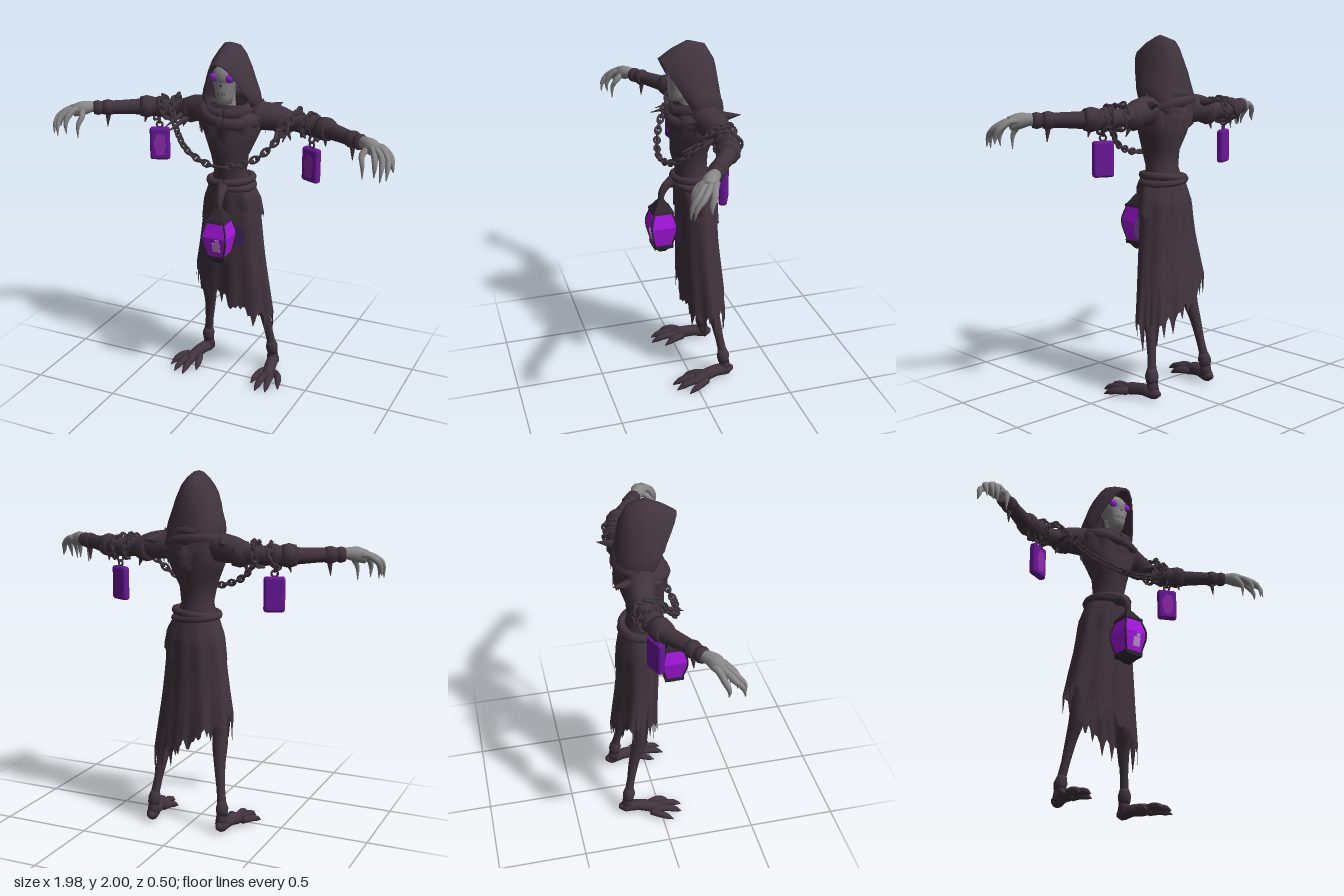
import * as THREE from 'three';
import { RoundedBoxGeometry } from 'three/addons/geometries/RoundedBoxGeometry.js';

const mat = (name, hex) => {
  const m = new THREE.MeshStandardMaterial({ color: hex, side: THREE.DoubleSide });
  m.name = name;
  return m;
};
const V = (x, y, z) => new THREE.Vector3(x, y, z);
const lerp = THREE.MathUtils.lerp;

export function createModel() {
  const root = new THREE.Group();
  const cloth = mat('dark cloth', 0x41343e), iron = mat('dark iron', 0x2f2730), steel = mat('chain steel', 0x40373f);
  const bone = mat('grey bone', 0x8a8888), eye = mat('violet eye', 0x9227d8), glass = mat('violet glass', 0xa616e0);
  const slab = mat('deep violet slab', 0x6a179a), glow = mat('slab glow', 0x9029ac), flame = mat('pale flame', 0xcf8fd8);
  const halo = mat('dim violet halo', 0x4c2d68);

  const add = (name, geo, material, x = 0, y = 0, z = 0, parent = root) => {
    const m = new THREE.Mesh(geo, material);
    m.name = name;
    m.position.set(x, y, z);
    parent.add(m);
    return m;
  };

  // Skin over rows of points
  const skin = (name, rows, material, closed = true) => {
    const n = rows[0].length, idx = [];
    for (let i = 0; i < rows.length - 1; i++)
      for (let j = 0; j < (closed ? n : n - 1); j++) {
        const a = i * n + j, b = i * n + (j + 1) % n;
        idx.push(a, a + n, b, b, a + n, b + n);
      }
    const g = new THREE.BufferGeometry().setFromPoints(rows.flat());
    g.setIndex(idx);
    g.computeVertexNormals();
    return add(name, g, material);
  };

  // Tapered limb through [x, y, z, radius] points
  const limb = (name, pts, material, sides = 10, per = 4) => {
    const c = new THREE.CatmullRomCurve3(pts.map(p => V(p[0], p[1], p[2])));
    const n = (pts.length - 1) * per, f = c.computeFrenetFrames(n), rows = [];
    const ring = (i, k) => {
      const t = c.getUtoTmapping(i / n) * (pts.length - 1), s = Math.min(Math.floor(t), pts.length - 2);
      const r = lerp(pts[s][3], pts[s + 1][3], t - s) * k, o = c.getPointAt(i / n);
      rows.push(Array.from({ length: sides }, (_, j) => {
        const a = j / sides * Math.PI * 2;
        return o.clone().addScaledVector(f.normals[i], Math.cos(a) * r).addScaledVector(f.binormals[i], Math.sin(a) * r);
      }));
    };
    ring(0, 0.01);
    for (let i = 0; i <= n; i++) ring(i, 1);
    ring(n, 0.01);
    return skin(name, rows, material);
  };

  // Body of oval rings [y, centre z, half width, half depth]
  const ovals = (name, rings, material, n = 28) => skin(name, rings.map(([y, cz, rx, rz]) =>
    Array.from({ length: n }, (_, j) => {
      const a = j / n * Math.PI * 2;
      return V(Math.sin(a) * rx, y, cz + Math.cos(a) * rz);
    })), material);

  // Hanging cloth with folds and a torn hem; stops are [half width, half depth, centre z]
  const drape = (name, top, hem, stops, jag, n = 96) => {
    const rows = [], k = 9;
    for (let i = 0; i <= k; i++) {
      const t = i / k, s = Math.min(Math.floor(t * (stops.length - 1)), stops.length - 2), u = t * (stops.length - 1) - s;
      const [rx, rz, cz] = stops[s].map((v, q) => lerp(v, stops[s + 1][q], u));
      rows.push(Array.from({ length: n }, (_, j) => {
        const a = j / n * Math.PI * 2, fold = 1 + 0.045 * t * Math.sin(a * 9 + Math.sin(a * 2));
        const x = Math.sin(a) * rx * fold, z = cz + Math.cos(a) * rz * fold;
        const tear = [0, 0.35, 0.8, 1, 0.3, 0.1, 0.6, 0.15][j % 8] * (0.6 + 0.4 * Math.sin(j * 1.7)) * jag;
        const w = t < 0.75 ? 0 : (t - 0.75) * 4;
        return V(x, lerp(top, hem(x, z), t) - tear * w, z);
      }));
    }
    return skin(name, rows, cloth);
  };

  // Torso, mantle, skirt and hip wrap
  ovals('torso', [[1.66, -0.06, 0.09, 0.08], [1.63, -0.07, 0.15, 0.1], [1.56, -0.06, 0.19, 0.12], [1.46, -0.05, 0.145, 0.12],
    [1.37, -0.035, 0.105, 0.105], [1.28, -0.045, 0.092, 0.09], [1.18, -0.06, 0.12, 0.1]], cloth);
  drape('mantle', 1.67, (x, z) => 1.5 + 0.4 * Math.abs(x) - 0.15 * Math.max(z, 0),
    [[0.11, 0.1, -0.06], [0.16, 0.12, -0.06], [0.205, 0.14, -0.06], [0.19, 0.14, -0.06]], 0.08);
  drape('skirt', 1.22, x => Math.max(0.43, 0.53 - 0.6 * x), [[0.115, 0.1, -0.06], [0.165, 0.115, -0.075],
    [0.18, 0.115, -0.08], [0.195, 0.118, -0.085], [0.215, 0.123, -0.097], [0.235, 0.13, -0.108]], 0.17);
  drape('hipWrap', 1.22, (x, z) => 1.03 + 0.25 * x + 0.5 * z, [[0.12, 0.105, -0.06], [0.168, 0.12, -0.075], [0.182, 0.12, -0.08]], 0.02);

  // Scarf folds and rope belt
  const loop = (name, y, cz, rx, rz, r, tilt) => limb(name, Array.from({ length: 17 }, (_, i) => {
    const a = i / 16 * Math.PI * 2;
    return [Math.sin(a) * rx, y + tilt * Math.sin(a) - 0.035 * Math.cos(a) * (y > 1.5), cz + Math.cos(a) * rz, r];
  }), cloth, 8, 3);
  loop('scarfUpper', 1.65, -0.065, 0.125, 0.11, 0.034, 0.01);
  loop('scarfLower', 1.61, -0.06, 0.155, 0.125, 0.036, -0.02);
  loop('beltUpper', 1.225, -0.055, 0.122, 0.108, 0.022, 0.012);
  loop('beltLower', 1.2, -0.06, 0.126, 0.11, 0.02, -0.01);
  add('beltKnot', new THREE.SphereGeometry(0.036, 12, 8), cloth, 0, 1.2, 0.06);

  // Hood: arches from the inner lining, round the rim, to the back [apex, bottom, half width, z top, z bottom]
  const arch = [[0.88, 0], [1, 0.2], [0.93, 0.33], [0.8, 0.47], [0.62, 0.68], [0.4, 0.87], [0.18, 0.98]];
  const outline = [...arch, [0, 1], ...arch.slice().reverse().map(([x, y]) => [-x, y])];
  skin('hood', [[1.88, 1.64, 0.06, -0.09, -0.09], [1.895, 1.63, 0.122, 0.02, -0.08], [1.897, 1.62, 0.13, 0.12, -0.04],
    [1.912, 1.61, 0.143, 0.134, -0.035], [1.96, 1.61, 0.163, 0.06, -0.045], [2.0, 1.6, 0.168, -0.03, -0.07],
    [1.975, 1.6, 0.155, -0.12, -0.12], [1.9, 1.58, 0.125, -0.165, -0.18], [1.8, 1.58, 0.08, -0.185, -0.205], [1.68, 1.58, 0.02, -0.2, -0.215]]
    .map(([top, bot, hw, zt, zb]) => outline.map(([x, f]) => V(x * hw, lerp(bot, top, f), lerp(zb, zt, f)))), cloth, false);

  // Skull and neck
  add('skull', new THREE.SphereGeometry(1, 20, 14), bone, 0, 1.825, 0.004).scale.set(0.086, 0.085, 0.08);
  ovals('jaw', [[1.8, 0.025, 0.073, 0.057], [1.765, 0.032, 0.058, 0.053], [1.72, 0.034, 0.047, 0.05], [1.68, 0.034, 0.038, 0.042], [1.677, 0.034, 0.001, 0.001]], bone, 16);
  limb('neck', [[0, 1.76, -0.02, 0.04], [0, 1.7, -0.02, 0.036], [0, 1.62, -0.03, 0.04]], bone);
  for (let i = -2; i <= 2; i++) add('toothGap', new THREE.BoxGeometry(0.002, 0.016, 0.005), steel, i * 0.011, 1.738, 0.083 - Math.abs(i) * 0.003);
  add('noseHole', new THREE.CircleGeometry(0.011, 3), steel, 0, 1.785, 0.087).rotation.z = Math.PI / 2;

  // Lantern hanging from the belt
  const lantern = new THREE.Group();
  lantern.name = 'lantern';
  lantern.position.set(0.01, 0, 0.13);
  root.add(lantern);
  const prism = (name, rt, rb, h, y, m) => {
    const g = new THREE.CylinderGeometry(rt * 1.414, rb * 1.414, h, 4).toNonIndexed();
    g.rotateY(Math.PI / 4);
    g.computeVertexNormals();
    add(name, g, m, 0, y, 0, lantern);
  };
  prism('glassTop', 0.052, 0.071, 0.08, 0.99, glass);
  prism('glassBottom', 0.071, 0.05, 0.115, 0.8925, glass);
  prism('capRim', 0.056, 0.06, 0.016, 1.04, iron);
  prism('capRoof', 0.015, 0.052, 0.055, 1.075, iron);
  prism('baseRim', 0.057, 0.054, 0.022, 0.827, iron);
  prism('baseFoot', 0.045, 0.018, 0.035, 0.802, iron);
  for (const sx of [-1, 1]) for (const sz of [-1, 1])
    lantern.add(limb('lanternBar', [[0.052, 1.03], [0.072, 0.95], [0.05, 0.84]].map(([d, y]) => [sx * d, y, sz * d, 0.005]), iron, 6));
  add('flame', new THREE.BoxGeometry(0.044, 0.055, 0.004), flame, 0.01, 0.895, 0.063, lantern).rotation.x = 0.2;
  add('flameTip', new THREE.BoxGeometry(0.022, 0.025, 0.004), flame, 0.018, 0.932, 0.07, lantern).rotation.x = 0.2;
  limb('lanternStrap', [[0, 1.2, 0.05, 0.028], [0.005, 1.19, 0.09, 0.026], [0.01, 1.14, 0.125, 0.02], [0.01, 1.09, 0.13, 0.014]], cloth);
  add('lanternHalo', new THREE.CircleGeometry(0.07, 28), halo, 0.062, 0.92, 0.046);

  // Chain of alternating links along a path
  const chain = (name, pts) => {
    const c = new THREE.CatmullRomCurve3(pts.map(p => V(...p))), n = Math.round(c.getLength() / 0.036);
    const g = new THREE.TorusGeometry(0.016, 0.007, 6, 10);
    g.scale(1.5, 1, 1);
    for (let i = 0; i <= n; i++) {
      const m = add(name, g, steel);
      m.position.copy(c.getPointAt(i / n));
      m.quaternion.setFromUnitVectors(V(1, 0, 0), c.getTangentAt(i / n));
      m.rotateX(i % 2 * Math.PI / 2 + 0.5);
    }
  };
  const drop = [[0.37, 1.64, -0.13], [0.365, 1.62, -0.05], [0.3, 1.5, 0.03], [0.2, 1.4, 0.09]];
  chain('chestChain', [...drop, [0, 1.345, 0.13], ...drop.slice().reverse().map(([x, y, z]) => [-x, y, z])]);

  for (const s of [-1, 1]) {
    const sideLimb = (name, pts, m, sides, per) => limb(name, pts.map(([x, y, z, r]) => [x * s, y, z, r]), m, sides, per);

    // Eyes
    add('eyeSocket', new THREE.SphereGeometry(1, 14, 10), steel, s * 0.043, 1.826, 0.064).scale.set(0.032, 0.025, 0.013);
    const iris = add('eye', new THREE.SphereGeometry(1, 14, 10), eye, s * 0.044, 1.824, 0.067);
    iris.scale.set(0.031, 0.023, 0.016);
    iris.rotation.z = s * 0.2;

    // Sleeve and wrapped bands
    sideLimb('sleeve', [[0.12, 1.6, -0.08, 0.085], [0.24, 1.59, -0.11, 0.075], [0.34, 1.575, -0.12, 0.05], [0.42, 1.57, -0.11, 0.052],
      [0.5, 1.57, -0.09, 0.056], [0.58, 1.57, -0.055, 0.046], [0.68, 1.572, 0.01, 0.04], [0.79, 1.572, 0.078, 0.036]], cloth, 12);
    for (const [x, z, r, d] of [[0.28, -0.115, 0.075, 0.04], [0.47, -0.1, 0.064, 0.02], [0.54, -0.075, 0.066, 0.035], [0.73, 0.04, 0.048, 0.025], [0.78, 0.07, 0.044, 0.02]])
      sideLimb('sleeveBand', [[x - d, 1.572, z - d * 0.45, r * 0.85], [x, 1.572, z, r], [x + d, 1.572, z + d * 0.55, r * 0.85]], cloth, 10, 2);
    // Torn cloth points
    for (const [a, b, r] of [[[0.2, 1.63, -0.16], [0.225, 1.64, -0.25], 0.03], [[0.28, 1.54, -0.07], [0.31, 1.5, 0.1], 0.022],
      [[0.32, 1.55, -0.08], [0.35, 1.51, 0.06], 0.02], [[0.3, 1.54, -0.12], [0.33, 1.47, -0.11], 0.022], [[0.16, 1.63, -0.1], [0.17, 1.69, -0.1], 0.035],
      [[0.73, 1.55, 0.04], [0.735, 1.46, 0.045], 0.02], [[0.54, 1.54, -0.07], [0.55, 1.48, -0.06], 0.02]])
      sideLimb('tornPoint', [[...a, r], [...b, 0.002]], cloth, 5, 1);
    // Chain wound round the arm
    chain('armChain', Array.from({ length: 17 }, (_, i) => {
      const t = i / 16, a = t * Math.PI * 3;
      return [s * (0.36 + 0.13 * t), 1.572 + 0.06 * Math.cos(a), -0.12 + 0.025 * t - 0.06 * Math.sin(a)];
    }));

    // Hanging slab
    const hang = new THREE.Group();
    hang.name = 'hangingSlab';
    hang.position.set(s * 0.465, 1.36, -0.08);
    hang.rotation.y = -s * 0.42;
    root.add(hang);
    add('slab', new RoundedBoxGeometry(0.116, 0.192, 0.044, 3, 0.016), slab, 0, 0, 0, hang);
    const spot = new THREE.Shape([[-0.02, -0.068], [0.022, -0.065], [0.036, -0.01], [0.028, 0.055], [-0.012, 0.065], [-0.036, 0.01]].map(p => new THREE.Vector2(...p)));
    add('slabGlow', new THREE.ShapeGeometry(spot), glow, 0, 0, 0.0235, hang);
    add('slabRing', new THREE.TorusGeometry(0.017, 0.006, 6, 14), steel, 0, 0.112, 0, hang);
    add('slabLink', new THREE.TorusGeometry(0.02, 0.007, 6, 14), steel, 0, 0.143, 0, hang).rotation.y = Math.PI / 2;

    // Bony hand
    sideLimb('palm', [[0.765, 1.572, 0.06, 0.028], [0.81, 1.578, 0.088, 0.032], [0.85, 1.572, 0.118, 0.042], [0.9, 1.558, 0.142, 0.036]], bone, 10);
    for (const [kx, kz, mx, mz, tx, ty, tz] of [[0.915, 0.115, 0.965, 0.135, 0.985, 1.46, 0.15], [0.915, 0.14, 0.965, 0.185, 0.975, 1.44, 0.235],
      [0.895, 0.16, 0.94, 0.205, 0.945, 1.43, 0.245], [0.875, 0.16, 0.9, 0.2, 0.905, 1.44, 0.215], [0.84, 0.13, 0.825, 0.175, 0.84, 1.42, 0.2]])
      sideLimb('finger', [[kx - 0.03, 1.572, kz - 0.02, 0.015], [kx, 1.57, kz, 0.019], [mx, 1.535, mz, 0.017],
        [(mx + tx) / 2 + 0.004, 1.495, (mz + tz) / 2 + 0.01, 0.013], [tx, ty, tz, 0.002]], bone, 7, 3);

    // Leg, ankle wrap and clawed foot
    sideLimb('leg', [[0.09, 1.0, -0.08, 0.07], [0.13, 0.75, -0.08, 0.052], [0.163, 0.55, -0.1, 0.044], [0.166, 0.48, -0.11, 0.044],
      [0.178, 0.38, -0.14, 0.032], [0.196, 0.25, -0.165, 0.024], [0.212, 0.14, -0.185, 0.026], [0.214, 0.05, -0.195, 0.036]], cloth, 10);
    sideLimb('ankleWrap', [[0.207, 0.18, -0.178, 0.026], [0.212, 0.14, -0.183, 0.038], [0.214, 0.1, -0.188, 0.032]], cloth, 8, 2);
    sideLimb('foot', [[0.212, 0.045, -0.245, 0.012], [0.215, 0.045, -0.21, 0.036], [0.23, 0.052, -0.13, 0.034], [0.245, 0.042, -0.06, 0.036], [0.255, 0.032, 0, 0.026]], cloth, 10);
    for (const [x0, x1, z1] of [[0.215, 0.18, 0.06], [0.24, 0.235, 0.13], [0.268, 0.295, 0.12], [0.285, 0.35, 0.06]])
      sideLimb('toe', [[x0, 0.036, -0.06, 0.023], [lerp(x0, x1, 0.5), 0.037, z1 - 0.08, 0.021], [lerp(x0, x1, 0.8), 0.025, z1 - 0.035, 0.018], [x1, 0.006, z1, 0.003]], cloth, 7, 3);
  }
  return root;
}
